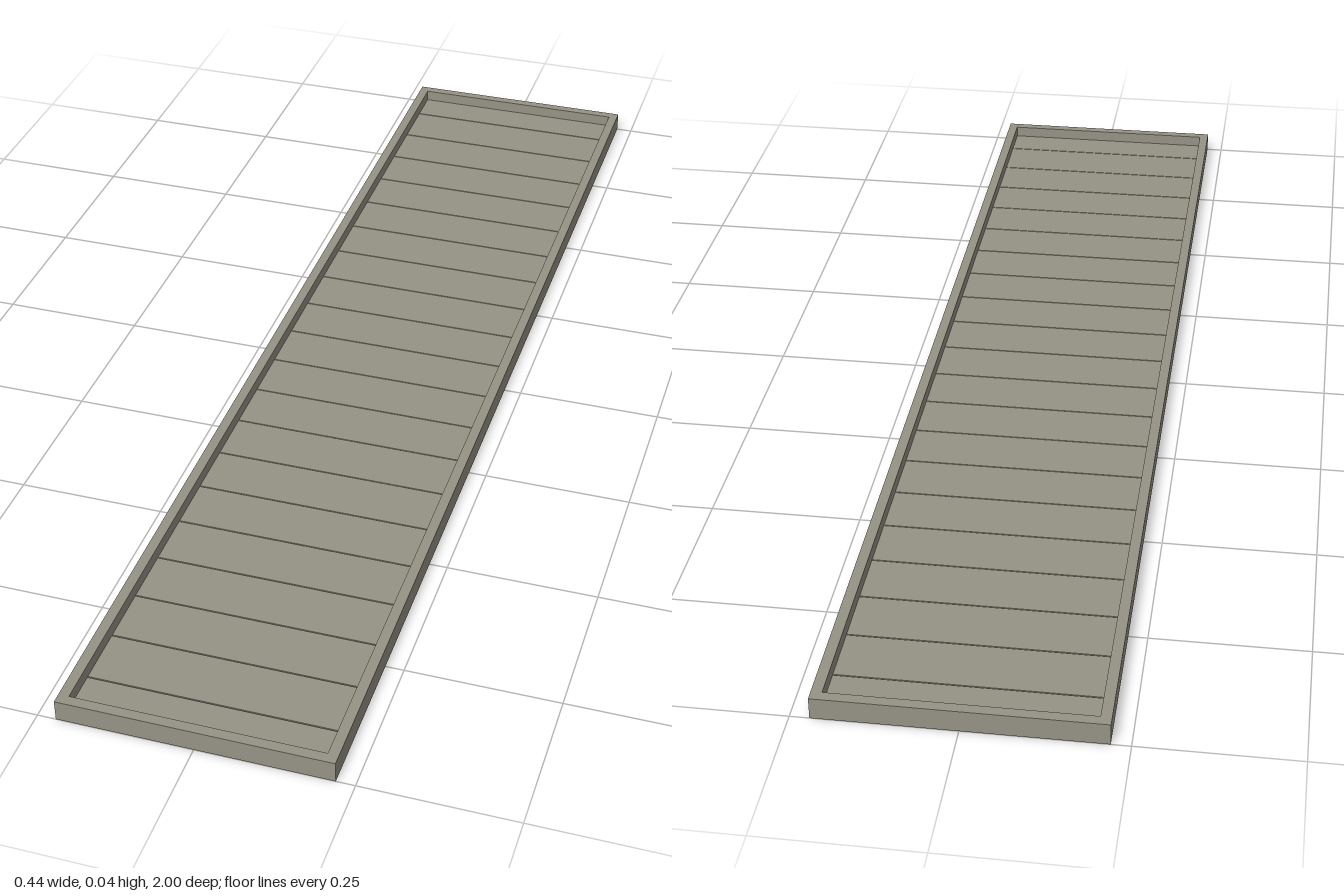
import * as THREE from 'three';

export function createModel() {
  const tray = new THREE.Group();
  tray.name = 'plankTray';
  const wood = new THREE.MeshStandardMaterial({ color: 0x969285 });
  wood.name = 'weathered grey';

  const W = 0.44, L = 2, H = 0.036;      // outer size
  const rim = 0.017, base = 0.011, floor = 0.015;
  const inW = W - 2 * rim, inL = L - 2 * rim;

  function box(name, w, h, d, x, y, z) {
    const mesh = new THREE.Mesh(new THREE.BoxGeometry(w, h, d), wood);
    mesh.name = name;
    mesh.position.set(x, y + h / 2, z);
    tray.add(mesh);
  }

  // Raised rim: one rectangular ring
  const outline = (w, l, T) => new T([
    new THREE.Vector2(-w / 2, -l / 2), new THREE.Vector2(w / 2, -l / 2),
    new THREE.Vector2(w / 2, l / 2), new THREE.Vector2(-w / 2, l / 2),
  ]);
  const ring = outline(W, L, THREE.Shape);
  ring.holes.push(outline(inW, inL, THREE.Path));
  const ringGeometry = new THREE.ExtrudeGeometry(ring, { depth: H, bevelEnabled: false });
  ringGeometry.rotateX(-Math.PI / 2);
  const frame = new THREE.Mesh(ringGeometry, wood);
  frame.name = 'rim';
  tray.add(frame);

  // Solid underside panel
  box('basePanel', inW, base, inL, 0, 0, 0);

  // Cross planks separated by narrow grooves, with short ones at both ends
  const gap = 0.002, pitch = 0.0965, count = 19;
  const seams = [-inL / 2];
  for (let i = 0; i <= count; i++) seams.push((i - count / 2) * pitch);
  seams.push(inL / 2);
  for (let i = 0; i < seams.length - 1; i++) {
    const a = seams[i] + (i === 0 ? 0 : gap / 2);
    const b = seams[i + 1] - (i === seams.length - 2 ? 0 : gap / 2);
    box('plank', inW, floor - base, b - a, 0, base, (a + b) / 2);
  }
  return tray;
}
